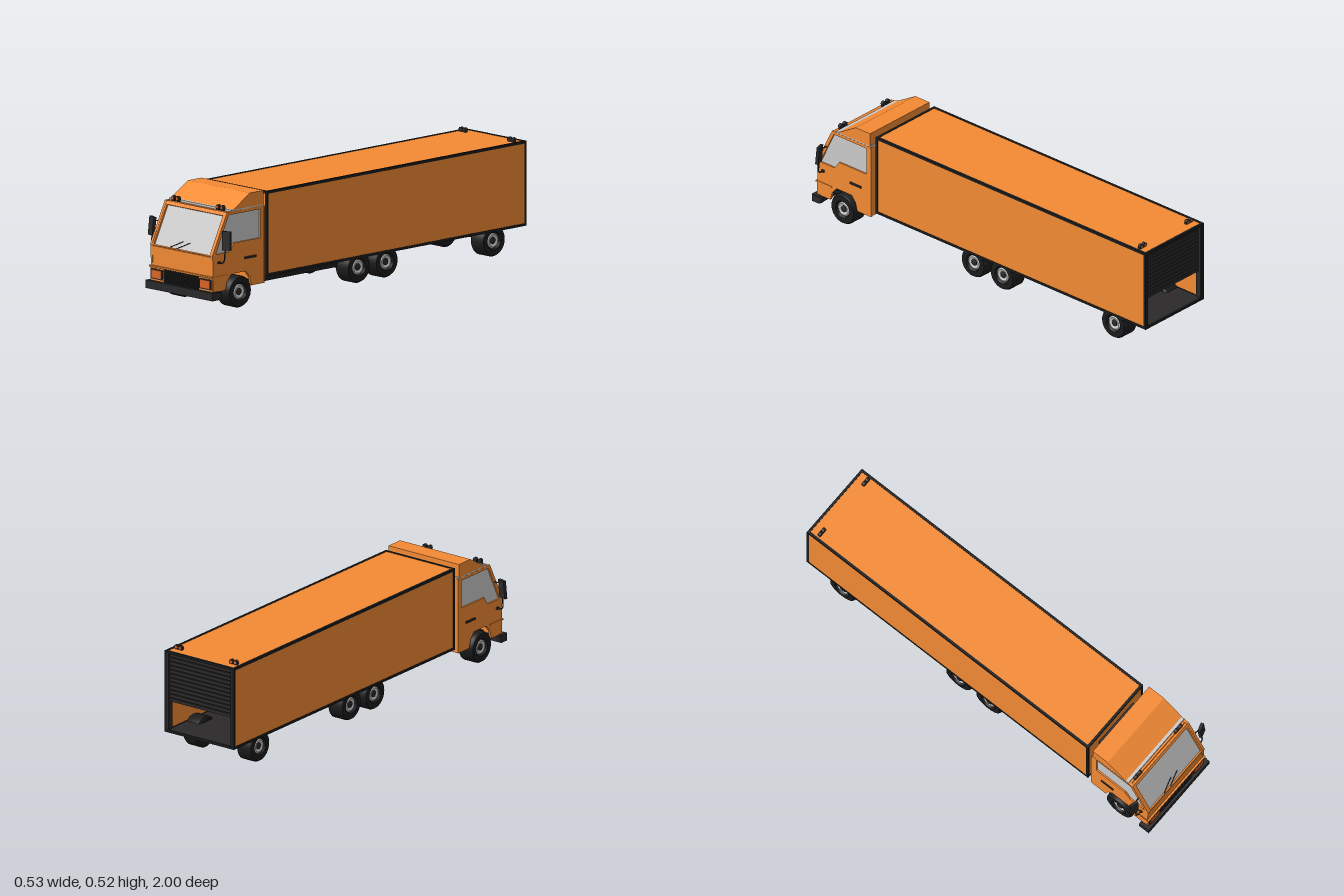
import * as THREE from 'three';
import { toCreasedNormals } from 'three/addons/utils/BufferGeometryUtils.js';

const mat = (color) => new THREE.MeshStandardMaterial({ color });
const orange = mat(0xf58b35), dark = mat(0x2b2929), black = mat(0x1c1c1c);
const lens = mat(0xd96526), grey = mat(0xcccccc);

export function createModel() {
  const truck = new THREE.Group();
  truck.name = 'truck';

  const add = (name, geo, material, parent = truck) => {
    const m = new THREE.Mesh(geo, material);
    m.name = name;
    parent.add(m);
    return m;
  };
  // Box given by its extents on each axis
  const box = (name, x0, x1, y0, y1, z0, z1, material, parent) => {
    const g = new THREE.BoxGeometry(x1 - x0, y1 - y0, z1 - z0);
    g.translate((x0 + x1) / 2, (y0 + y1) / 2, (z0 + z1) / 2);
    return add(name, g, material, parent);
  };
  const shapeOf = (pts, hole) => {
    const s = new THREE.Shape(pts.map((p) => new THREE.Vector2(...p)));
    if (hole) s.holes.push(new THREE.Path(hole.map((p) => new THREE.Vector2(...p))));
    return s;
  };
  // Side profile of [z, y] points extruded from x0 to x1
  const profile = (name, pts, x0, x1, material, hole) => {
    const g = new THREE.ExtrudeGeometry(shapeOf(pts, hole), { depth: x1 - x0, bevelEnabled: false });
    g.rotateY(-Math.PI / 2).translate(x1, 0, 0);
    return add(name, g, material);
  };
  const tube = (name, pts, r, material, parent) => add(name, new THREE.TubeGeometry(
    new THREE.CatmullRomCurve3(pts.map((p) => new THREE.Vector3(...p)), false, 'catmullrom', 0.3), 24, r, 8), material, parent);

  // ---- Cargo box: hollow, open below the rear shutter
  const L = -0.2, R = 0.192, B = 0.115, T = 0.505, F = 0.635, E = -1, w = 0.01;
  box('cargoLeftWall', R - w, R - 0.002, B + 0.002, T - 0.002, E + 0.004, F - 0.002, orange);
  box('cargoRightWall', L + 0.002, L + w, B + 0.002, T - 0.002, E + 0.004, F - 0.002, orange);
  box('cargoRoof', L + w, R - w, T - w, T - 0.002, E + 0.004, F - 0.002, orange);
  box('cargoFrontWall', L + w, R - w, B + w, T - w, F - w, F - 0.002, orange);
  box('cargoFloor', L + w, R - w, B, B + w, E + 0.004, F - 0.002, dark);
  const t = 0.012;
  for (const x of [L, R - t]) {
    for (const y of [B, T - t]) box('cargoLongTrim', x, x + t, y, y + t, E, F, black);
    for (const z of [E, F - t]) box('cargoPostTrim', x, x + t, B, T, z, z + t, black);
  }
  for (const y of [B, T - t]) for (const z of [E, F - t]) box('cargoCrossTrim', L, R, y, y + t, z, z + t, black);
  // Rear roller shutter, partly raised
  box('shutter', L + w, R - w, 0.26, T - w, E + 0.022, E + 0.028, dark);
  for (let i = 0; i < 12; i++) {
    const y = 0.26 + i * 0.0195;
    box('shutterSlat', L + w, R - w, y, y + 0.015, E + 0.015, E + 0.024, dark);
  }
  for (const x of [L + t, R - t - 0.008]) box('shutterGuide', x, x + 0.008, B + t, T - t, E + 0.003, E + 0.03, dark);

  // ---- Chassis and coupling
  box('chassis', -0.12, 0.12, 0.075, 0.098, -0.18, 0.96, black);
  box('chassisRiser', -0.11, 0.11, 0.098, 0.118, -0.16, 0.62, black);
  box('cabCoupling', -0.12, 0.12, 0.098, 0.42, 0.63, 0.665, dark);

  // ---- Wheels: tyre with a grey ring around the hub
  const lathe = (pts) => toCreasedNormals(new THREE.LatheGeometry(
    pts.map((p) => new THREE.Vector2(...p)), 32).rotateZ(-Math.PI / 2), 0.6);
  const tyre = lathe([[0, -0.04], [0.064, -0.04], [0.073, -0.032], [0.073, 0.032], [0.067, 0.042], [0.042, 0.042], [0.034, 0.03], [0, 0.03]]);
  const ring = lathe([[0.034, 0.026], [0.034, 0.034], [0.028, 0.037], [0.016, 0.032], [0.016, 0.026]]);
  const hub = lathe([[0.015, 0.026], [0.015, 0.035], [0.009, 0.039], [0, 0.039]]);
  for (const [z, x] of [[0.82, 0.168], [0.05, 0.15], [-0.125, 0.15], [-0.8, 0.15]]) {
    for (const side of [1, -1]) {
      const wheel = new THREE.Group();
      wheel.name = 'wheel';
      add('tyre', tyre, black, wheel);
      add('rimRing', ring, grey, wheel);
      add('hub', hub, dark, wheel);
      wheel.position.set(side * x - (x < 0.16 ? 0.004 : 0), 0.073, z);
      if (side < 0) wheel.rotation.y = Math.PI;
      truck.add(wheel);
    }
    const axle = new THREE.CylinderGeometry(0.012, 0.012, 2 * x - 0.06, 12).rotateZ(Math.PI / 2);
    add('axle', axle, dark).position.set(0, 0.08, z);
  }

  // ---- Cab: hollow-bottomed core, side panels with window openings
  profile('cabCore', [[0.66, 0.09], [0.675, 0.09], [0.675, 0.168], [0.95, 0.168], [0.95, 0.09], [0.978, 0.09],
    [0.982, 0.25], [0.968, 0.26], [0.878, 0.444], [0.66, 0.444]], -0.19, 0.19, orange);
  const panel = [[0.657, 0.09], [0.74, 0.09], [0.75, 0.13], [0.775, 0.16], [0.865, 0.16], [0.892, 0.13], [0.903, 0.09],
    [0.978, 0.09], [0.984, 0.262], [0.893, 0.446], [0.657, 0.446]];
  const windowEdge = [[0.684, 0.3], [0.684, 0.432], [0.882, 0.432], [0.962, 0.266], [0.958, 0.262], [0.877, 0.262], [0.85, 0.3]];
  for (const side of [1, -1]) {
    const span = (a, b) => (side > 0 ? [a, b] : [-b, -a]);
    profile('cabSidePanel', panel, ...span(0.188, 0.2), orange, windowEdge);
    profile('sideWindow', windowEdge, ...span(0.185, 0.1925), grey);
    box('doorHandle', ...span(0.199, 0.205), 0.217, 0.227, 0.713, 0.782, dark);
    box('sideBelt', ...span(0.199, 0.203), 0.154, 0.161, 0.892, 0.986, orange);
    box('rearCabLip', ...span(0.199, 0.202), 0.1, 0.44, 0.655, 0.662, orange);
    box('bumperEnd', ...span(0.2, 0.217), 0.062, 0.09, 0.945, 0.985, dark);
  }

  // Windscreen group lies in the sloping front plane, local y runs up the slope
  const screen = new THREE.Group();
  screen.name = 'windscreen';
  screen.position.set(0, 0.258, 0.984);
  screen.rotation.x = -Math.atan2(0.091, 0.186);
  truck.add(screen);
  const frame = shapeOf([[-0.19, -0.004], [0.19, -0.004], [0.19, 0.209], [-0.19, 0.209]],
    [[-0.18, 0.002], [0.18, 0.002], [0.18, 0.191], [-0.18, 0.191]]);
  add('screenFrame', new THREE.ExtrudeGeometry(frame, { depth: 0.014, bevelEnabled: false }).translate(0, 0, -0.014), orange, screen);
  box('glass', -0.181, 0.181, 0.001, 0.192, -0.02, -0.009, grey, screen);
  for (const x of [-0.08, -0.035]) tube('wiper', [[x, 0.002, -0.004], [x + 0.035, 0.021, -0.005], [x + 0.07, 0.04, -0.005]], 0.0018, black, screen);

  // Roof strip and wind deflector
  box('roofStrip', -0.199, 0.199, 0.444, 0.453, 0.66, 0.868, grey);
  profile('windDeflector', [[0.663, 0.452], [0.855, 0.452], [0.749, 0.515], [0.663, 0.515]], -0.2, 0.2, orange);

  // ---- Front face
  box('frontBelt', -0.203, 0.203, 0.154, 0.161, 0.97, 0.989, orange);
  box('bumper', -0.215, 0.215, 0.055, 0.092, 0.957, 1, dark);
  box('grille', -0.111, 0.111, 0.092, 0.155, 0.965, 0.983, black);
  for (let i = 0; i < 9; i++) {
    const y = 0.095 + i * 0.0066;
    box('grilleSlat', -0.109, 0.109, y, y + 0.004, 0.98, 0.989, dark);
  }
  for (const s of [1, -1]) {
    const c = s * 0.156;
    box('headlightPanel', c - 0.042, c + 0.042, 0.092, 0.152, 0.97, 0.984, orange);
    box('headlightFrame', c - 0.038, c + 0.038, 0.1, 0.147, 0.975, 0.988, dark);
    box('headlightLens', c - 0.031, c + 0.031, 0.106, 0.142, 0.98, 0.991, lens);

    // Wing mirror on two bent arms
    const head = add('mirrorHead', new THREE.BoxGeometry(0.042, 0.086, 0.014), dark);
    head.position.set(s * 0.24, 0.327, 0.934);
    head.rotation.set(-0.08, s * 0.3, s * 0.05);
    tube('mirrorLowerArm', [[s * 0.199, 0.223, 0.945], [s * 0.218, 0.223, 0.945], [s * 0.23, 0.229, 0.944],
      [s * 0.235, 0.243, 0.943], [s * 0.235, 0.295, 0.938]], 0.003, dark);
    tube('mirrorUpperArm', [[s * 0.195, 0.354, 0.925], [s * 0.225, 0.354, 0.93]], 0.003, dark);
    box('armMount', s * 0.203 - 0.005, s * 0.203 + 0.005, 0.218, 0.228, 0.938, 0.952, dark);
  }

  // ---- Lamp pairs on the cab roof (facing forward) and cargo roof (facing back)
  const lamp = (x, y, z, dir) => {
    const g = new THREE.Group();
    g.name = 'roofLamp';
    const disc = (name, r, d, off, m) => {
      add(name, new THREE.CylinderGeometry(r, r, d, 16).rotateX(Math.PI / 2), m, g).position.z = off;
    };
    disc('lampHousing', 0.011, 0.014, 0, dark);
    disc('lampLens', 0.0065, 0.003, 0.007, lens);
    box('lampFoot', -0.01, 0.01, -0.014, 0, -0.006, 0.006, dark, g);
    g.position.set(x, y, z);
    if (dir < 0) g.rotation.y = Math.PI;
    truck.add(g);
  };
  for (const s of [1, -1]) for (const off of [-0.0135, 0.0135]) {
    lamp(s * 0.143 + off, 0.46, 0.878, 1);
    lamp(s * 0.156 - 0.003 + off * 0.85, 0.513, -0.945, -1);
  }
  return truck;
}
